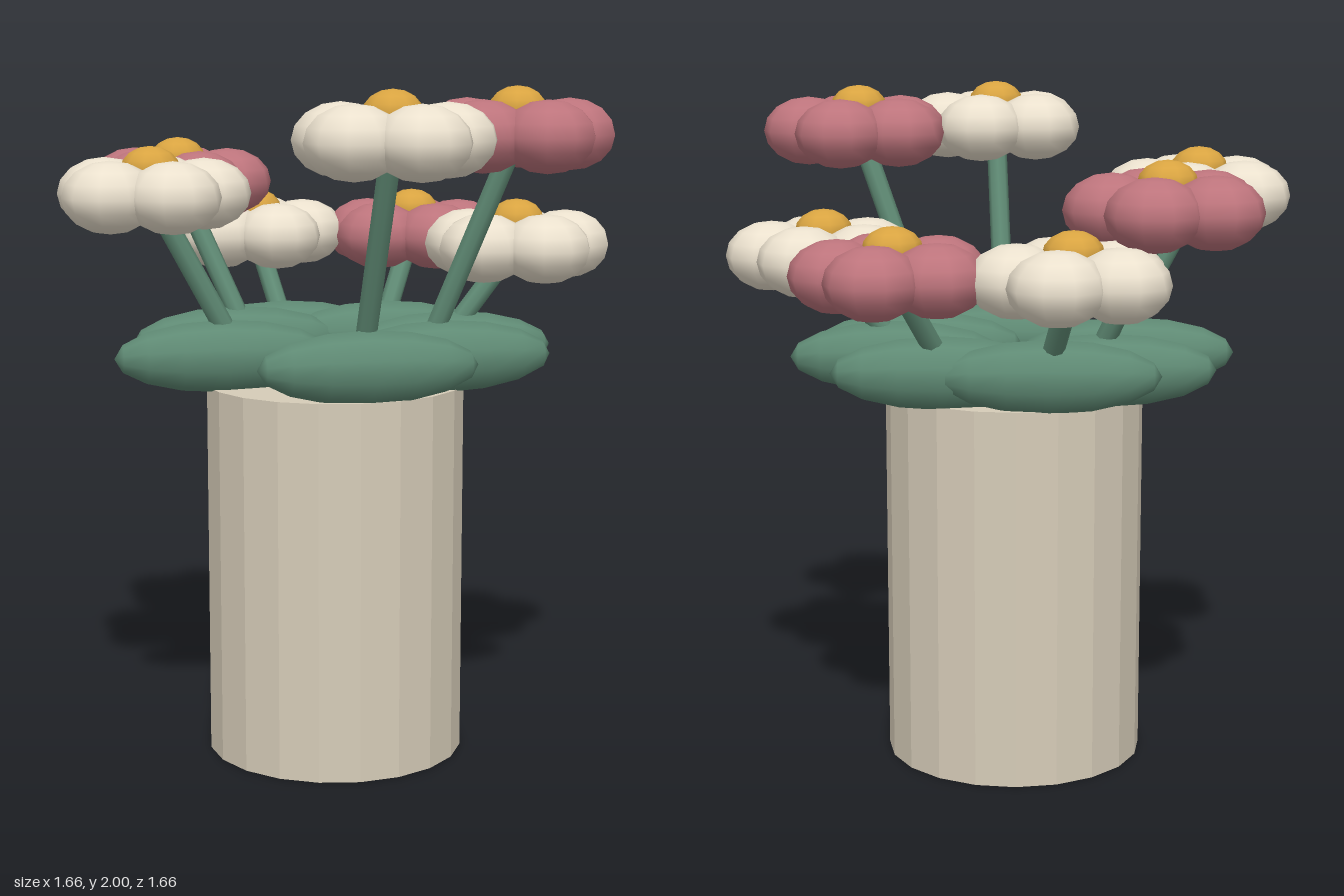
import * as THREE from 'three';

const mat = (color, flatShading = false) => new THREE.MeshStandardMaterial({ color, flatShading });

const CENTRE_X = -0.02; // the pot sits slightly off the middle of the bouquet
const POT_RADIUS = 0.385, POT_HEIGHT = 1.12;
const LEAF_Y = 1.215;

// Each flower: x, height, z, pink or cream
const FLOWERS = [
  [0.03, 1.862, 0.55, false],
  [0.45, 1.862, 0.29, true],
  [-0.57, 1.692, 0.08, false],
  [-0.435, 1.692, -0.395, true],
  [-0.17, 1.518, -0.56, false],
  [0.32, 1.518, -0.46, true],
  [0.54, 1.518, -0.015, false],
];

export function createModel() {
  const model = new THREE.Group();
  model.name = 'pottedFlowers';

  const cream = mat(0xebe1ce), pink = mat(0xbd747c), gold = mat(0xd9a441);
  const green = mat(0x5f8a74);

  const add = (parent, name, geometry, material, x, y, z) => {
    const mesh = new THREE.Mesh(geometry, material);
    mesh.name = name;
    mesh.position.set(x, y, z);
    parent.add(mesh);
    return mesh;
  };

  // Closed cylindrical pot
  add(model, 'pot', new THREE.CylinderGeometry(POT_RADIUS, POT_RADIUS, POT_HEIGHT, 20),
    mat(0xd6ccb8, true), CENTRE_X, POT_HEIGHT / 2, 0);

  // Shared ellipsoids
  const petalGeo = new THREE.SphereGeometry(1, 10, 8).scale(0.137, 0.103, 0.137);
  const heartGeo = new THREE.SphereGeometry(1, 10, 8).scale(0.085, 0.065, 0.085);
  const leafGeo = new THREE.SphereGeometry(1, 10, 8).rotateZ(Math.PI / 2).scale(0.32, 0.107, 0.109);

  const up = new THREE.Vector3(0, 1, 0);

  for (const [x, y, z, isPink] of FLOWERS) {
    // Point a fraction of the way from the pot's axis to the flower
    const spread = (t, height) => new THREE.Vector3(CENTRE_X + (x - CENTRE_X) * t, height, z * t);

    // Leaf on the rim, always lying along x
    const leaf = spread(0.62, LEAF_Y);
    add(model, 'leaf', leafGeo, green, leaf.x, leaf.y, leaf.z);

    // Leaning stem
    const base = spread(0.42, 1.1), tip = new THREE.Vector3(x, y, z);
    const dir = tip.clone().sub(base);
    const mid = base.clone().add(tip).multiplyScalar(0.5);
    const stem = add(model, 'stem', new THREE.CylinderGeometry(0.031, 0.031, dir.length(), 8),
      green, mid.x, mid.y, mid.z);
    stem.quaternion.setFromUnitVectors(up, dir.normalize());

    // Blossom: five petals round a golden heart
    const blossom = new THREE.Group();
    blossom.name = 'blossom';
    blossom.position.copy(tip);
    for (let i = 0; i < 5; i++) {
      const a = (i / 5) * Math.PI * 2;
      add(blossom, 'petal', petalGeo, isPink ? pink : cream, Math.cos(a) * 0.153, 0, Math.sin(a) * 0.153);
    }
    add(blossom, 'flowerHeart', heartGeo, gold, 0, 0.073, 0);
    model.add(blossom);
  }
  return model;
}
